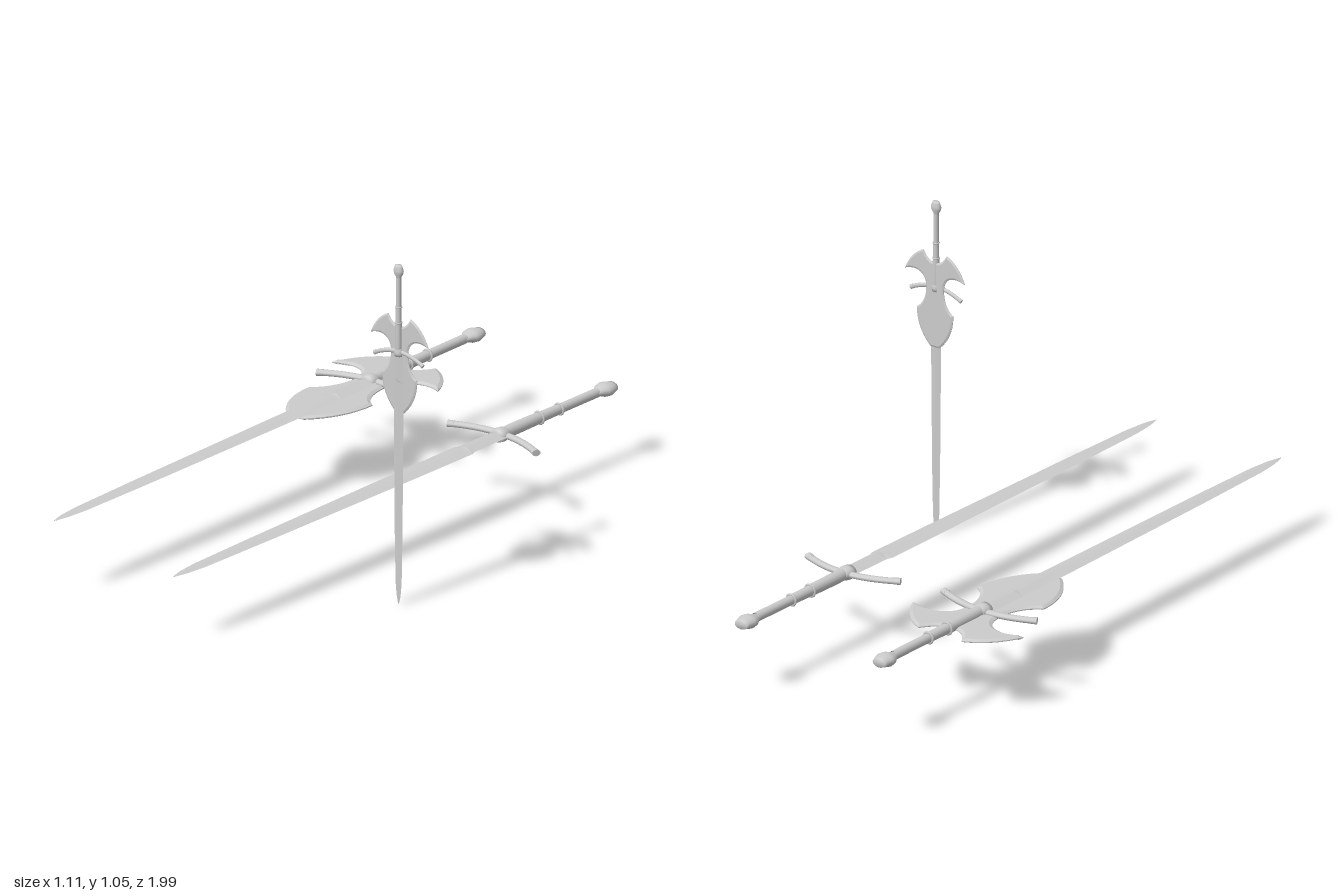
import * as THREE from 'three';

const grey = new THREE.MeshStandardMaterial({ color: 0xcccccc, side: THREE.DoubleSide });

function part(parent, name, geometry) {
  const mesh = new THREE.Mesh(geometry, grey);
  mesh.name = name;
  parent.add(mesh);
  return mesh;
}

const lathe = (points, sides) =>
  new THREE.LatheGeometry(points.map(([r, y]) => new THREE.Vector2(r, y)), sides);

// Diamond cross-sections lofted along y; each station is [y, halfWidth, halfThickness]
function bladeGeometry(stations) {
  const pos = [], index = [];
  stations.forEach(([y, w, t], i) => {
    pos.push(w, y, 0, 0, y, t, -w, y, 0, 0, y, -t);
    if (i === 0) return;
    for (let k = 0; k < 4; k++) {
      const a = (i - 1) * 4 + k, b = (i - 1) * 4 + (k + 1) % 4;
      index.push(a, a + 4, b, b, a + 4, b + 4);
    }
  });
  let g = new THREE.BufferGeometry();
  g.setAttribute('position', new THREE.Float32BufferAttribute(pos, 3));
  g.setIndex(index);
  g = g.toNonIndexed();
  // Stations run from hilt to tip, so the winding above faces outward
  g.computeVertexNormals();
  return g;
}

// Winged plate behind the hilt and upper blade
function plateGeometry() {
  const half = new THREE.Path();
  half.moveTo(0.016, 0.145);
  half.quadraticCurveTo(0.052, 0.152, 0.078, 0.201);
  half.quadraticCurveTo(0.16, 0.165, 0.2, 0.064);
  half.bezierCurveTo(0.15, 0.088, 0.062, 0.09, 0.058, -0.005);
  half.bezierCurveTo(0.058, -0.07, 0.085, -0.118, 0.121, -0.137);
  half.quadraticCurveTo(0.122, -0.26, 0.03, -0.345);
  const right = half.getPoints(10);
  const left = right.map(p => new THREE.Vector2(-p.x, p.y)).reverse();
  const g = new THREE.ExtrudeGeometry(new THREE.Shape([...right, ...left]), {
    depth: 0.003, bevelEnabled: true, bevelSize: 0.01, bevelOffset: -0.01,
    bevelThickness: 0.005, bevelSegments: 1
  });
  g.translate(0, 0, -0.01);
  return g;
}

// One sword: origin at the guard, pommel toward +y, blade toward -y
function sword(name, bladeLength, plated) {
  const g = new THREE.Group();
  g.name = name;

  // Pommel and grip
  part(g, 'pommel', lathe([[0, 0.495], [0.022, 0.495], [0.025, 0.485], [0.032, 0.465],
    [0.029, 0.448], [0.018, 0.43], [0.014, 0.415]].reverse(), 16)).scale.z = 0.64;
  part(g, 'grip', lathe([[0.018, 0], [0.019, 0.06], [0.018, 0.155], [0.0165, 0.17],
    [0.0155, 0.25], [0.0145, 0.265], [0.0145, 0.425]], 16));
  for (const [y, r] of [[0.168, 0.018], [0.257, 0.0165]]) {
    const ring = part(g, 'gripRing', new THREE.TorusGeometry(r, 0.004, 6, 18));
    ring.rotation.x = Math.PI / 2;
    ring.position.y = y;
  }

  // Curved guard with slightly flared, closed ends
  const curve = new THREE.QuadraticBezierCurve3(new THREE.Vector3(-0.165, -0.04, 0),
    new THREE.Vector3(0, 0.045, 0), new THREE.Vector3(0.165, -0.04, 0));
  const guardGeometry = new THREE.TubeGeometry(curve, 24, 0.012, 10);
  part(g, 'guard', guardGeometry).scale.z = 0.75;
  for (const s of [-1, 1]) {
    const end = part(g, 'guardEnd', new THREE.CylinderGeometry(0.0135, 0.0125, 0.02, 10));
    end.position.set(s * 0.16, -0.0375, 0);
    end.rotation.z = -s * (Math.PI / 2 + 0.47);
    end.scale.z = 0.75;
  }
  part(g, 'collar', lathe([[0, -0.022], [0.024, -0.022], [0.027, -0.005], [0.024, 0.012],
    [0.018, 0.022]], 16)).scale.z = 0.8;

  // Pointed langet below the guard
  const langet = part(g, 'langet', new THREE.ConeGeometry(0.025, 0.045, 8));
  langet.rotation.x = Math.PI;
  langet.position.y = -0.026;
  langet.scale.z = 0.55;

  // Blade with a narrower root
  const L = bladeLength;
  part(g, 'blade', bladeGeometry([[0, 0.03, 0.009], [-0.155, 0.031, 0.009],
    [-0.172, plated ? 0.033 : 0.037, 0.007], [-0.4, plated ? 0.033 : 0.036, 0.006],
    [-L + 0.4, 0.027, 0.004], [-L + 0.12, 0.021, 0.0035], [-L + 0.05, 0.014, 0.003],
    [-L + 0.015, 0.006, 0.002], [-L, 0.0005, 0.0005]]));

  if (plated) part(g, 'wingedPlate', plateGeometry());
  return g;
}

// Lay a sword down: tilt gives the small x and y drift toward the pommel, roll the sideways slope
function layFlat(group, position, driftX, driftY, roll) {
  const y = new THREE.Vector3(driftX, driftY, -1).normalize();
  const z = new THREE.Vector3(1, roll, 0).cross(y).normalize();
  const x = new THREE.Vector3().crossVectors(y, z);
  group.quaternion.setFromRotationMatrix(new THREE.Matrix4().makeBasis(x, y, z));
  group.position.set(...position);
}

export function createModel() {
  const model = new THREE.Group();
  model.name = 'swords';

  const upright = sword('uprightSword', 1.435, true);
  upright.scale.setScalar(0.545);
  upright.position.set(0.443, 0.783, 0.322);

  const winged = sword('wingedSword', 1.435, true);
  layFlat(winged, [-0.355, 0.255, -0.503], -0.005, 0.008, 0.02);

  const plain = sword('plainSword', 1.465, false);
  layFlat(plain, [0.165, 0.226, -0.472], 0.008, 0.01, -0.025);

  model.add(upright, winged, plain);
  return model;
}
